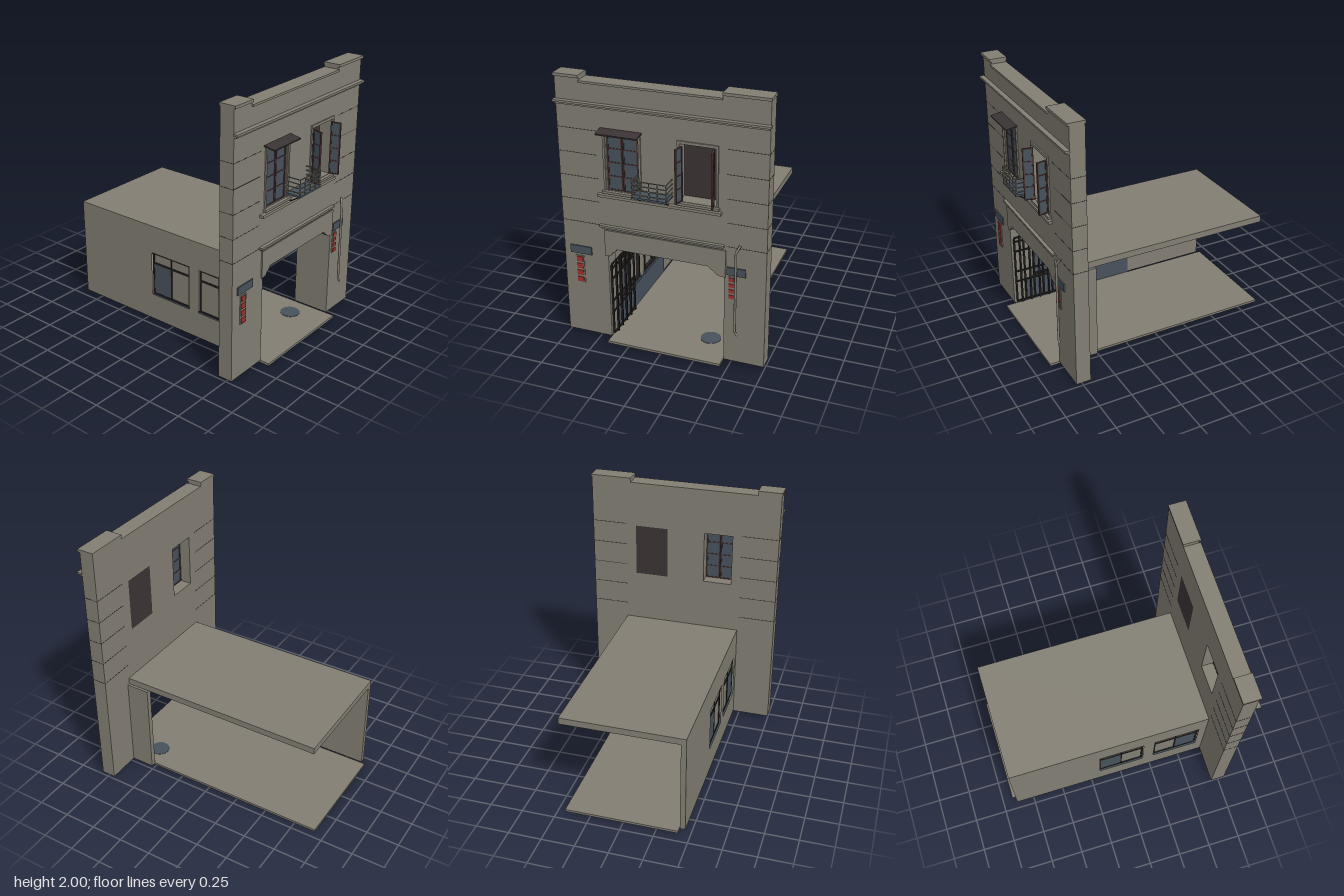
import * as THREE from 'three';

const mat = (name, color) => Object.assign(new THREE.MeshStandardMaterial({ color }), { name });

export function createModel() {
  const root = new THREE.Group();
  root.name = 'shopHouse';
  const wall = mat('plasterGrey', 0x827e73);
  const blue = mat('slateBlue', 0x47525c);
  const dark = mat('darkIron', 0x272322);
  const brown = mat('shadowBrown', 0x3b3334);
  const sashMat = mat('sashBrown', 0x4a3231);
  const red = mat('signRed', 0xa03030);

  const add = (name, geo, m, parent = root) => {
    const mesh = new THREE.Mesh(geo, m);
    mesh.name = name;
    parent.add(mesh);
    return mesh;
  };
  // Box given by its limits on each axis
  const box = (name, m, x0, x1, y0, y1, z0, z1, parent = root) => {
    const b = add(name, new THREE.BoxGeometry(x1 - x0, y1 - y0, z1 - z0), m, parent);
    b.position.set((x0 + x1) / 2, (y0 + y1) / 2, (z0 + z1) / 2);
    return b;
  };
  const poly = (pts) => new THREE.Shape(pts.map((p) => new THREE.Vector2(p[0], p[1])));
  const rect = (x0, x1, y0, y1) => poly([[x0, y0], [x0, y1], [x1, y1], [x1, y0]]);
  const extrude = (shape, depth) => new THREE.ExtrudeGeometry(shape, { depth, bevelEnabled: false });
  const tube = (name, m, pts, r, parent = root) => {
    const path = new THREE.CurvePath();
    const v = pts.map((p) => new THREE.Vector3(...p));
    for (let i = 1; i < v.length; i++) path.add(new THREE.LineCurve3(v[i - 1], v[i]));
    return add(name, new THREE.TubeGeometry(path, (v.length - 1) * 8, r, 8), m, parent);
  };

  // Facade with stepped parapet, doorway and two window openings
  const arch = [[-0.41, 0.69], [-0.385, 0.695], [-0.37, 0.72], [-0.35, 0.73], [-0.34, 0.75],
    [0.34, 0.75], [0.355, 0.73], [0.375, 0.72], [0.395, 0.7], [0.415, 0.69], [0.45, 0.685]];
  const front = poly([[-0.75, 0.02], [-0.41, 0.02], ...arch, [0.45, 0.02], [0.745, 0.02],
    [0.745, 1.98], [0.43, 1.98], [0.43, 1.95], [-0.57, 1.95], [-0.57, 1.98], [-0.75, 1.98]]);
  front.holes.push(rect(-0.39, -0.165, 1.2, 1.61), rect(0.13, 0.39, 1.2, 1.61));
  add('facade', extrude(front, 0.11), wall).position.z = 0.69;

  // Parapet caps and cornices
  box('parapetCapRight', wall, -0.755, -0.57, 1.98, 2, 0.685, 0.815);
  box('parapetCapLeft', wall, 0.43, 0.75, 1.98, 2, 0.685, 0.815);
  box('parapetCapMiddle', wall, -0.57, 0.43, 1.95, 1.965, 0.69, 0.815);
  box('corniceUpper', wall, -0.76, 0.755, 1.805, 1.82, 0.8, 0.835);
  box('corniceLower', wall, -0.75, 0.745, 1.79, 1.805, 0.8, 0.82);

  // Raised lintel over the doorway with its mouldings
  const lintel = poly([[-0.43, 0.685], ...arch, [0.46, 0.685], [0.46, 0.89], [-0.43, 0.89]]);
  add('lintelPanel', extrude(lintel, 0.01), wall).position.z = 0.8;
  box('lintelMouldingLow', wall, -0.44, 0.435, 0.9, 0.915, 0.8, 0.815);
  box('lintelMouldingTop', wall, -0.46, 0.45, 0.915, 0.93, 0.8, 0.825);

  // Horizontal joints on the facade edges
  for (let i = 0; i < 5; i++) {
    const y = 0.92 + i * 0.175;
    for (const [a, b] of [[-0.751, -0.46], [0.465, 0.746]])
      box('wallJoint', brown, a, b, y - 0.002, y + 0.002, 0.689, 0.801);
  }

  // Floor, drain cover, roof and side pier
  box('floor', wall, -0.41, 0.445, 0, 0.018, -0.92, 0.87);
  const drain = add('drainCover', new THREE.CylinderGeometry(0.075, 0.075, 0.022, 24), blue);
  drain.position.set(0.28, 0.01, 0.58);
  box('roof', wall, -0.455, 0.47, 0.75, 0.8, -0.89, 0.69);
  box('sidePier', wall, 0.45, 0.49, 0.02, 0.75, 0.51, 0.69);

  // Side wall with two window openings
  const bays = [[-0.18, 0.18, 0], [0.27, 0.63, 1]];
  const side = rect(-0.89, 0.69, 0.02, 0.75);
  for (const [a, b] of bays) side.holes.push(rect(a, b, 0.23, 0.58));
  const sideWall = add('sideWall', extrude(side, 0.04), wall);
  sideWall.rotation.y = -Math.PI / 2;
  sideWall.position.x = -0.415;
  box('wainscot', blue, -0.415, -0.407, 0.02, 0.21, -0.21, 0.69);

  // Side windows: sliding pane, blank panel, frame
  for (const [a, b, far] of bays) {
    const g = new THREE.Group();
    g.name = 'sideWindow';
    root.add(g);
    const mid = (a + b) / 2;
    box('blankPanel', wall, -0.438, -0.432, 0.23, 0.58, a, b, g);
    box('slidingPane', blue, -0.442, -0.428, 0.24, 0.49, far ? mid : a, far ? b : mid, g);
    for (const z of [a, b - 0.014])
      box('jamb', dark, -0.445, -0.408, 0.23, 0.58, z, z + 0.014, g);
    box('mullion', dark, -0.445, -0.42, 0.23, 0.58, mid - 0.005, mid + 0.005, g);
    for (const y of [0.23, 0.485, 0.566])
      box('rail', dark, -0.445, -0.408, y, y + 0.014, a, b, g);
    box('innerSill', blue, -0.415, -0.4, 0.21, 0.23, a - 0.01, b + 0.01, g);
  }

  // Folding iron gate standing open along the side wall
  const gate = new THREE.Group();
  gate.name = 'foldingGate';
  root.add(gate);
  for (let i = 0; i < 10; i++) {
    const z = 0.43 + i * 0.038, x = i % 2 ? -0.4 : -0.384;
    box('gateBar', dark, x - 0.006, x + 0.006, 0.035, i % 2 ? 0.6 : 0.63, z, z + 0.012, gate);
  }
  for (const y of [0.04, 0.22, 0.31, 0.49, 0.575, 0.61])
    box('gateRail', dark, -0.396, -0.386, y, y + 0.01, 0.43, 0.784, gate);

  // Glazed sash, hinged on its left edge
  const sash = (name, w, h, x, y, z, turn) => {
    const g = new THREE.Group();
    g.name = name;
    box('glass', blue, 0, w, 0, h, -0.003, 0.003, g);
    for (const u of [0, w - 0.01]) box('stile', sashMat, u, u + 0.01, 0, h, -0.007, 0.007, g);
    for (let i = 0; i < 5; i++) {
      const v = (i / 4) * (h - 0.008);
      box('sashBar', sashMat, 0, w, v, v + 0.008, -0.006, 0.006, g);
    }
    g.position.set(x, y, z);
    g.rotation.y = turn;
    root.add(g);
  };
  sash('closedSash', 0.11, 0.41, -0.39, 1.2, 0.785, 0);
  sash('closedSash', 0.11, 0.41, -0.276, 1.2, 0.785, 0);
  sash('openSash', 0.075, 0.39, 0.152, 1.21, 0.805, -Math.PI / 2 - 0.25);
  sash('openSash', 0.075, 0.39, 0.372, 1.21, 0.805, -Math.PI / 2 + 0.2);
  box('darkRoom', brown, 0.13, 0.39, 1.2, 1.61, 0.69, 0.7);

  // Window surrounds and sills
  for (const [a, b] of [[-0.415, -0.14], [0.12, 0.405]]) {
    box('surroundSide', wall, a, a + 0.015, 1.2, 1.635, 0.8, 0.81);
    box('surroundSide', wall, b - 0.015, b, 1.2, 1.635, 0.8, 0.81);
    box('surroundTop', wall, a, b, 1.615, 1.635, 0.8, 0.81);
    box('windowSill', wall, a - 0.01, b + 0.01, 1.18, 1.197, 0.8, 0.825);
  }
  box('longSill', wall, -0.46, 0.43, 1.15, 1.17, 0.8, 0.83);

  // Sloping awning over one window
  const awning = box('awning', brown, -0.43, -0.13, 1.634, 1.644, 0.8, 0.885);
  awning.rotation.x = 0.17;

  // Small railed shelf with slanted brackets
  const shelf = new THREE.Group();
  shelf.name = 'railedShelf';
  root.add(shelf);
  box('shelfFloor', blue, -0.165, 0.085, 1.222, 1.235, 0.8, 0.92, shelf);
  for (const y of [1.255, 1.288, 1.32, 1.352]) {
    box('frontRail', wall, -0.165, 0.085, y - 0.003, y + 0.003, 0.912, 0.918, shelf);
    for (const x of [-0.165, 0.079])
      box('sideRail', wall, x, x + 0.006, y - 0.003, y + 0.003, 0.8, 0.918, shelf);
  }
  for (const x of [-0.165, -0.105, -0.043, 0.018, 0.079])
    box('railPost', wall, x, x + 0.006, 1.235, 1.355, 0.912, 0.918, shelf);
  for (const x of [-0.14, 0.06])
    tube('shelfBracket', dark, [[x, 1.155, 0.8], [x, 1.225, 0.912]], 0.004, shelf);

  // Plain wall signs: slate plates above columns of red panels
  const sign = (x0, x1, y0, y1, rx0, rx1, ry0, ry1) => {
    box('signPlate', blue, x0, x1, y0, y1, 0.803, 0.812);
    box('signBacking', wall, rx0, rx1, ry0, ry1, 0.8, 0.805);
    const step = (ry1 - ry0) / 4;
    for (let i = 0; i < 4; i++)
      box('signPanel', red, rx0 + 0.008, rx1 - 0.008, ry0 + i * step + 0.008,
        ry0 + (i + 1) * step - 0.008, 0.803, 0.81);
  };
  sign(-0.7, -0.535, 0.67, 0.73, -0.665, -0.6, 0.43, 0.65);
  sign(0.47, 0.605, 0.71, 0.77, 0.477, 0.532, 0.52, 0.695);

  // Drain pipe bent at both ends
  tube('drainPipe', wall, [[0.565, 0.95, 0.812], [0.541, 0.9, 0.833], [0.541, 0.28, 0.836],
    [0.56, 0.263, 0.838]], 0.009);

  return root;
}
